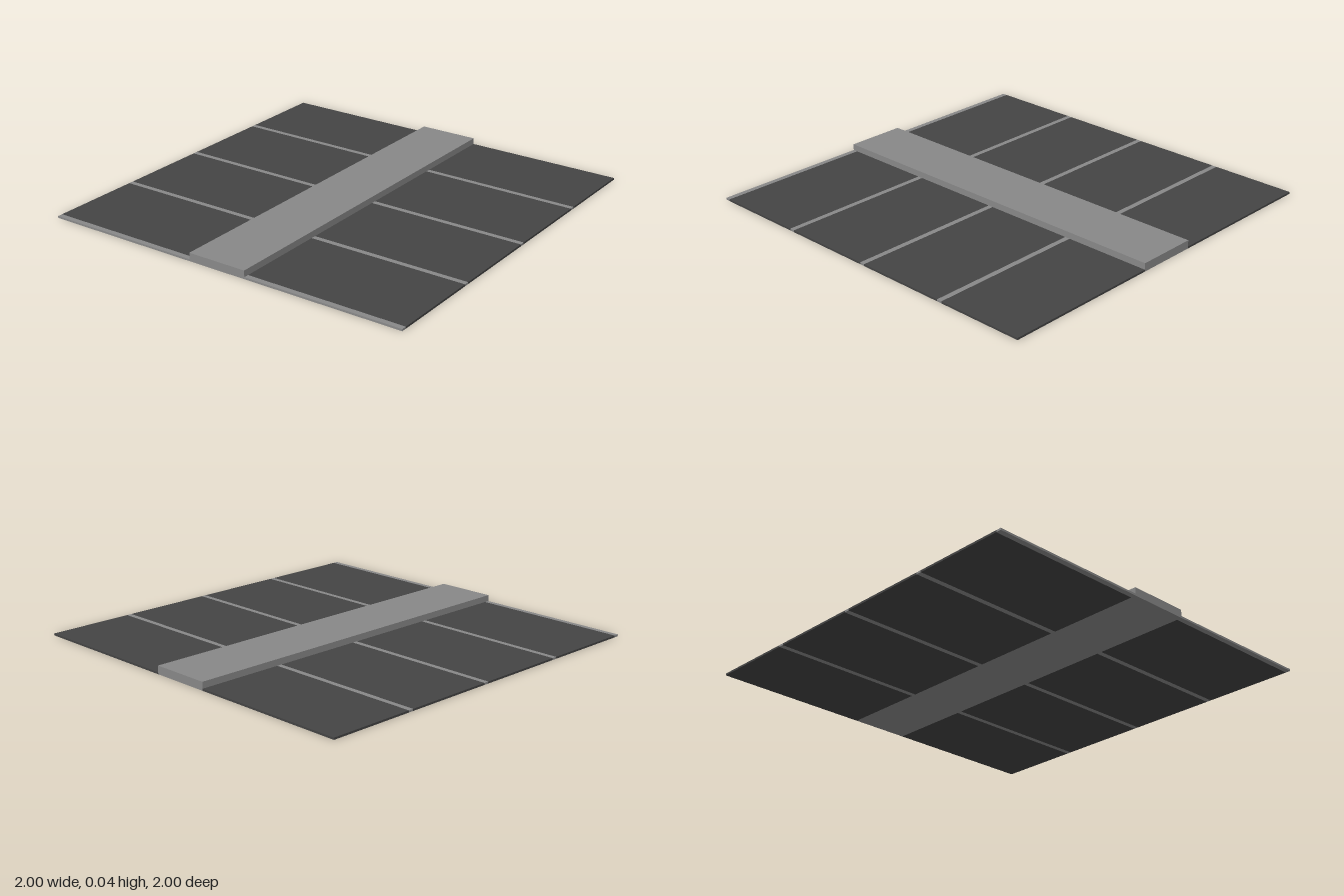
import * as THREE from 'three';

export function createModel() {
  const model = new THREE.Group();
  model.name = 'parkingLot';
  const asphalt = new THREE.MeshStandardMaterial({ color: 0x444444 });
  asphalt.name = 'asphalt';
  const concrete = new THREE.MeshStandardMaterial({ color: 0x888888 });
  concrete.name = 'concrete';

  const EDGE = 1, HALF_MEDIAN = 0.16, SLAB = 0.01, MEDIAN = 0.043;
  const LINE = 0.027, SPACING = 0.506, BAYS = 4;

  // Box given by its extents, standing on the ground
  function slab(name, material, x0, x1, z0, z1, height) {
    const mesh = new THREE.Mesh(new THREE.BoxGeometry(x1 - x0, height, z1 - z0), material);
    mesh.position.set((x0 + x1) / 2, height / 2, (z0 + z1) / 2);
    mesh.name = name;
    model.add(mesh);
  }

  // Raised strip running down the middle
  slab('median', concrete, -HALF_MEDIAN, HALF_MEDIAN, -EDGE, EDGE, MEDIAN);

  // Parking bays on both sides, each closed at its front by an inlaid line
  for (const [side, x0, x1] of [['left', HALF_MEDIAN, EDGE], ['right', -EDGE, -HALF_MEDIAN]]) {
    for (let i = 0; i < BAYS; i++) {
      const front = EDGE - i * SPACING;
      const back = i === BAYS - 1 ? -EDGE : front - SPACING;
      slab(`${side}BayLine${i + 1}`, concrete, x0, x1, front - LINE, front, SLAB);
      slab(`${side}Bay${i + 1}`, asphalt, x0, x1, back, front - LINE, SLAB);
    }
  }
  return model;
}
